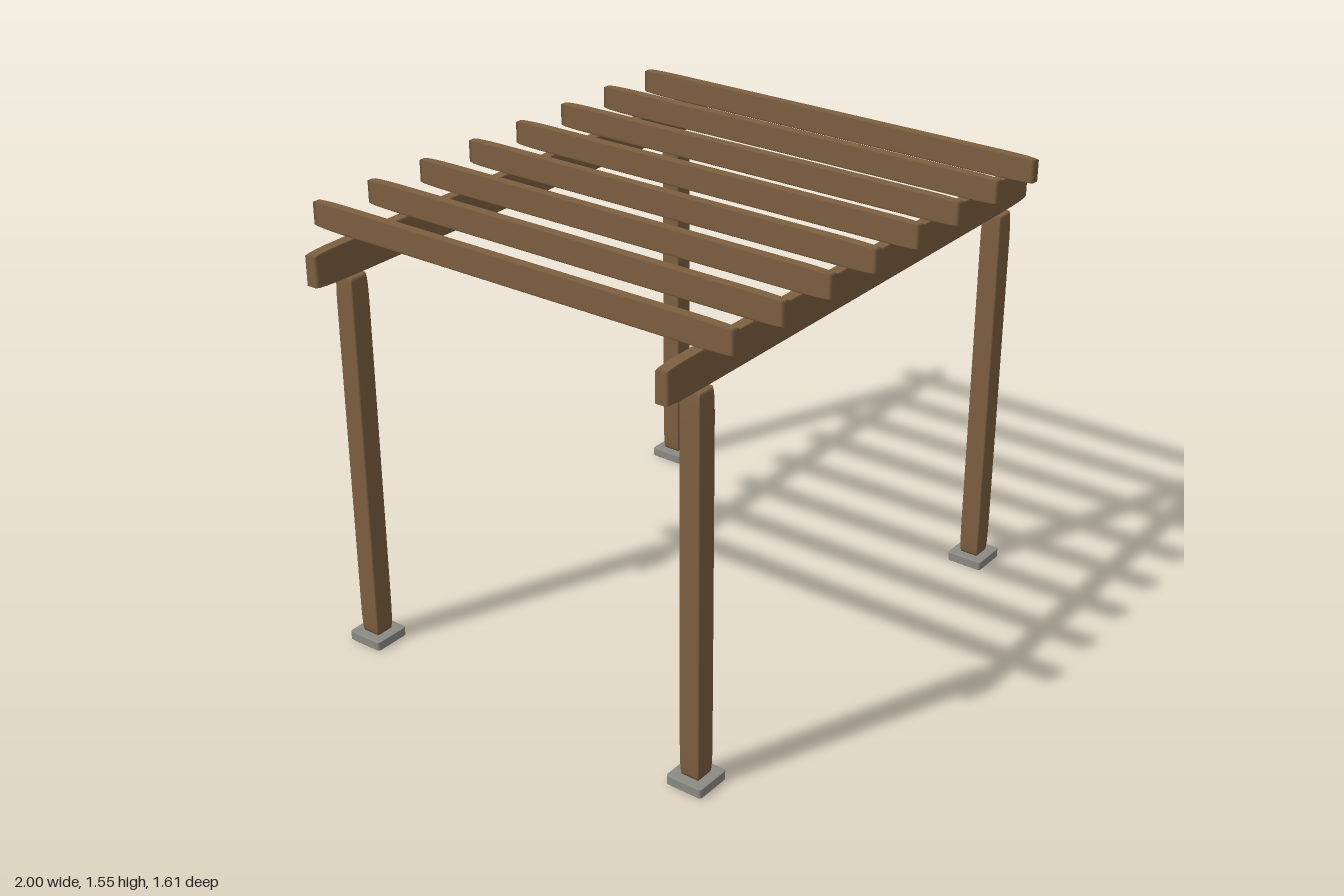
import * as THREE from 'three';
import { RoundedBoxGeometry } from 'three/addons/geometries/RoundedBoxGeometry.js';

export function createModel() {
  const group = new THREE.Group();
  const wood = new THREE.MeshStandardMaterial({ color: 0x7d5f40 });
  wood.name = 'wood';
  const stone = new THREE.MeshStandardMaterial({ color: 0x8c8a84 });
  stone.name = 'stone';

  // One soft-edged unit block, stretched into every timber and footing
  const block = new RoundedBoxGeometry(1, 1, 1, 2, 0.08);
  function add(name, material, size, position) {
    const mesh = new THREE.Mesh(block, material);
    mesh.name = name;
    mesh.scale.set(...size);
    mesh.position.set(...position);
    group.add(mesh);
  }

  const postX = 0.833, postZ = 0.67;
  for (const sz of [1, -1]) {
    const end = sz > 0 ? 'front' : 'back';
    // Posts on square footings
    for (const sx of [1, -1]) {
      const corner = end + (sx > 0 ? 'Left' : 'Right');
      add(corner + 'Footing', stone, [0.133, 0.034, 0.133], [sx * postX, 0.017, sz * postZ]);
      add(corner + 'Post', wood, [0.074, 1.303, 0.074], [sx * postX, 0.6835, sz * postZ]);
    }
    // Long beam across each pair of posts
    add(end + 'Beam', wood, [2, 0.118, 0.041], [0, 1.393, sz * postZ]);
  }

  // Rafters laid across both beams
  const count = 8;
  for (let i = 0; i < count; i++) {
    const x = -postX + (2 * postX * i) / (count - 1);
    add('rafter' + (i + 1), wood, [0.028, 0.088, 1.608], [x, 1.505, 0]);
  }
  return group;
}
